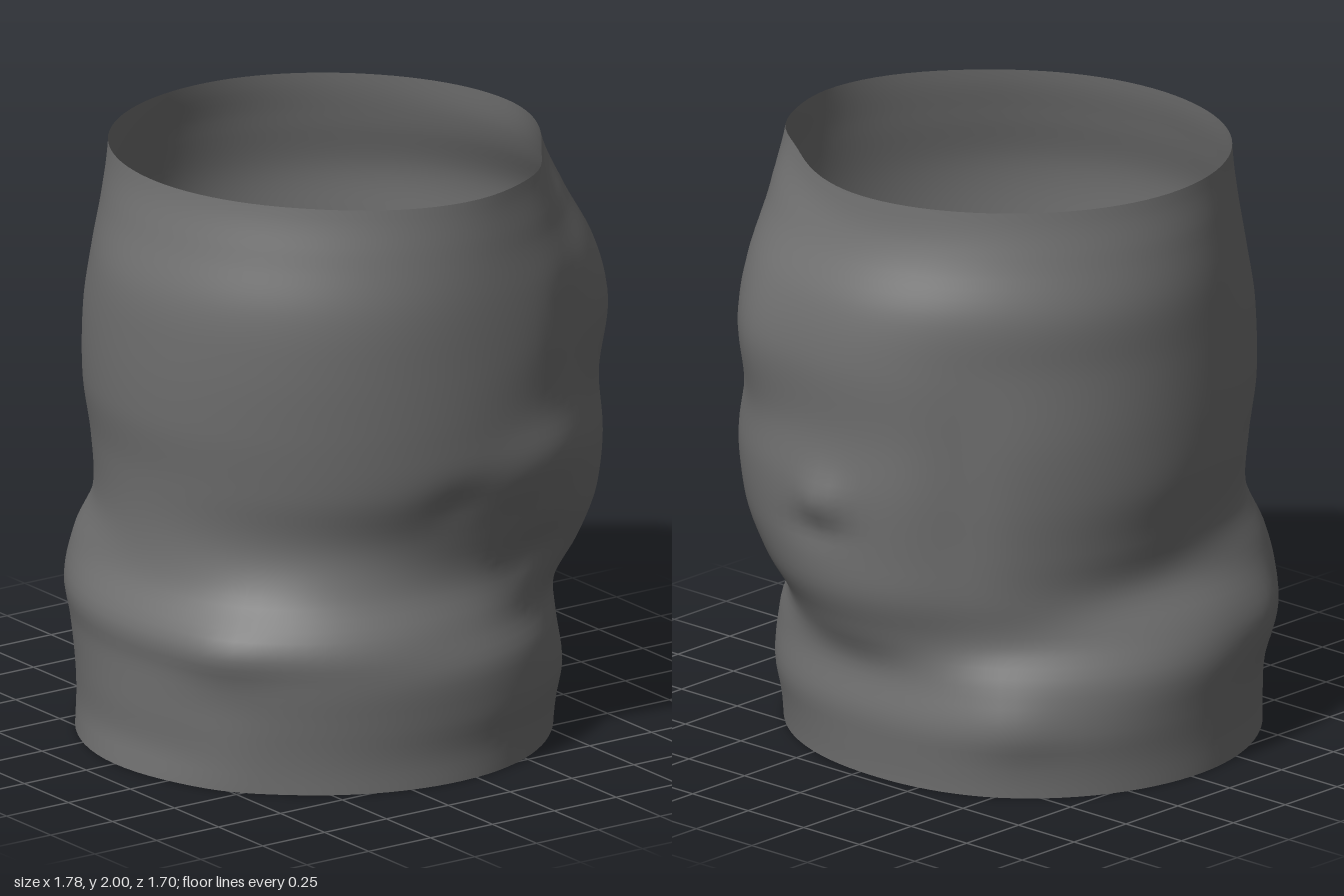
import * as THREE from 'three';

// Each row: height, then radii every 45 degrees, from +x through +z, -x and -z
const SECTIONS = [
  [0.00, 0.71, 0.73, 0.81, 0.86, 0.885, 0.84, 0.83, 0.79],
  [0.10, 0.72, 0.74, 0.81, 0.865, 0.87, 0.84, 0.83, 0.80],
  [0.22, 0.73, 0.76, 0.825, 0.88, 0.875, 0.845, 0.837, 0.815],
  [0.38, 0.71, 0.74, 0.825, 0.90, 0.88, 0.865, 0.843, 0.785],
  [0.50, 0.76, 0.725, 0.78, 0.905, 0.89, 0.88, 0.80, 0.73],
  [0.65, 0.82, 0.80, 0.73, 0.81, 0.82, 0.85, 0.71, 0.735],
  [0.80, 0.835, 0.86, 0.75, 0.77, 0.80, 0.785, 0.72, 0.75],
  [1.00, 0.845, 0.885, 0.82, 0.81, 0.81, 0.795, 0.76, 0.77],
  [1.20, 0.835, 0.865, 0.84, 0.84, 0.84, 0.82, 0.775, 0.78],
  [1.45, 0.85, 0.885, 0.85, 0.86, 0.85, 0.815, 0.78, 0.775],
  [1.65, 0.82, 0.85, 0.85, 0.855, 0.84, 0.785, 0.78, 0.775],
  [1.85, 0.73, 0.76, 0.835, 0.805, 0.785, 0.755, 0.75, 0.72],
  [2.00, 0.70, 0.69, 0.82, 0.77, 0.75, 0.74, 0.72, 0.69],
];

// Local swellings and hollows: angle (degrees), height, angular spread, height spread, depth
const BUMPS = [
  [3, 0.97, 6, 0.08, 0.035],
  [6, 0.85, 9, 0.05, -0.012],
  [29, 1.4, 12, 0.25, 0.025],
  [58, 1.45, 9, 0.22, -0.025],
  [68, 1.08, 13, 0.12, 0.02],
  [94, 0.95, 9, 0.08, -0.015],
  [66, 0.7, 11, 0.09, -0.03],
  [62, 2.0, 12, 0.15, 0.02],
  [149, 0.48, 10, 0.12, 0.025],
  [149, 0.1, 10, 0.2, 0.015],
  [-31, 1.0, 9, 0.35, -0.02],
  [-45, 0.25, 10, 0.1, 0.015],
  [237, 0.42, 12, 0.12, 0.03],
];

// Smooth interpolation through four neighbouring values
function cubic(a, b, c, d, t) {
  return b + 0.5 * t * (c - a + t * (2 * a - 5 * b + 4 * c - d + t * (3 * (b - c) + d - a)));
}

// Radius around the loop of one section
function loopRadius(row, angle) {
  const f = angle / 45, i = Math.floor(f);
  const r = k => row[1 + ((i + k + 8) % 8)];
  return cubic(r(-1), r(0), r(1), r(2), f - i);
}

function radiusAt(angle, y) {
  const last = SECTIONS.length - 1;
  let i = 0;
  while (i < last - 1 && SECTIONS[i + 1][0] < y) i++;
  const t = (y - SECTIONS[i][0]) / (SECTIONS[i + 1][0] - SECTIONS[i][0]);
  const r = k => loopRadius(SECTIONS[THREE.MathUtils.clamp(i + k, 0, last)], angle);
  let radius = cubic(r(-1), r(0), r(1), r(2), t);
  for (const [a, h, da, dh, depth] of BUMPS) {
    const off = ((angle - a + 540) % 360) - 180;
    radius += depth * Math.exp(-((off / da) ** 2) - ((y - h) / dh) ** 2);
  }
  return radius;
}

export function createModel() {
  const group = new THREE.Group();
  group.name = 'openSleeve';

  // Thin wall, open at both ends, shaped from a plain cylinder
  const around = 96, up = 64;
  const geometry = new THREE.CylinderGeometry(1, 1, 2, around, up, true);
  const pos = geometry.attributes.position;
  for (let n = 0; n < pos.count; n++) {
    const y = pos.getY(n) + 1;
    const a = Math.atan2(pos.getZ(n), pos.getX(n));
    const degrees = (THREE.MathUtils.radToDeg(a) + 360) % 360;
    const r = radiusAt(degrees, y);
    pos.setXYZ(n, r * Math.cos(a), y, r * Math.sin(a));
  }
  geometry.computeVertexNormals();

  // Match the normals on the two sides of the seam
  const nor = geometry.attributes.normal;
  for (let j = 0; j <= up; j++) {
    const p = j * (around + 1), q = p + around;
    const v = new THREE.Vector3().fromBufferAttribute(nor, p)
      .add(new THREE.Vector3().fromBufferAttribute(nor, q)).normalize();
    nor.setXYZ(p, v.x, v.y, v.z);
    nor.setXYZ(q, v.x, v.y, v.z);
  }

  const material = new THREE.MeshStandardMaterial({ color: 0x707070, side: THREE.DoubleSide });
  const wall = new THREE.Mesh(geometry, material);
  wall.name = 'sleeveWall';
  group.add(wall);
  return group;
}
